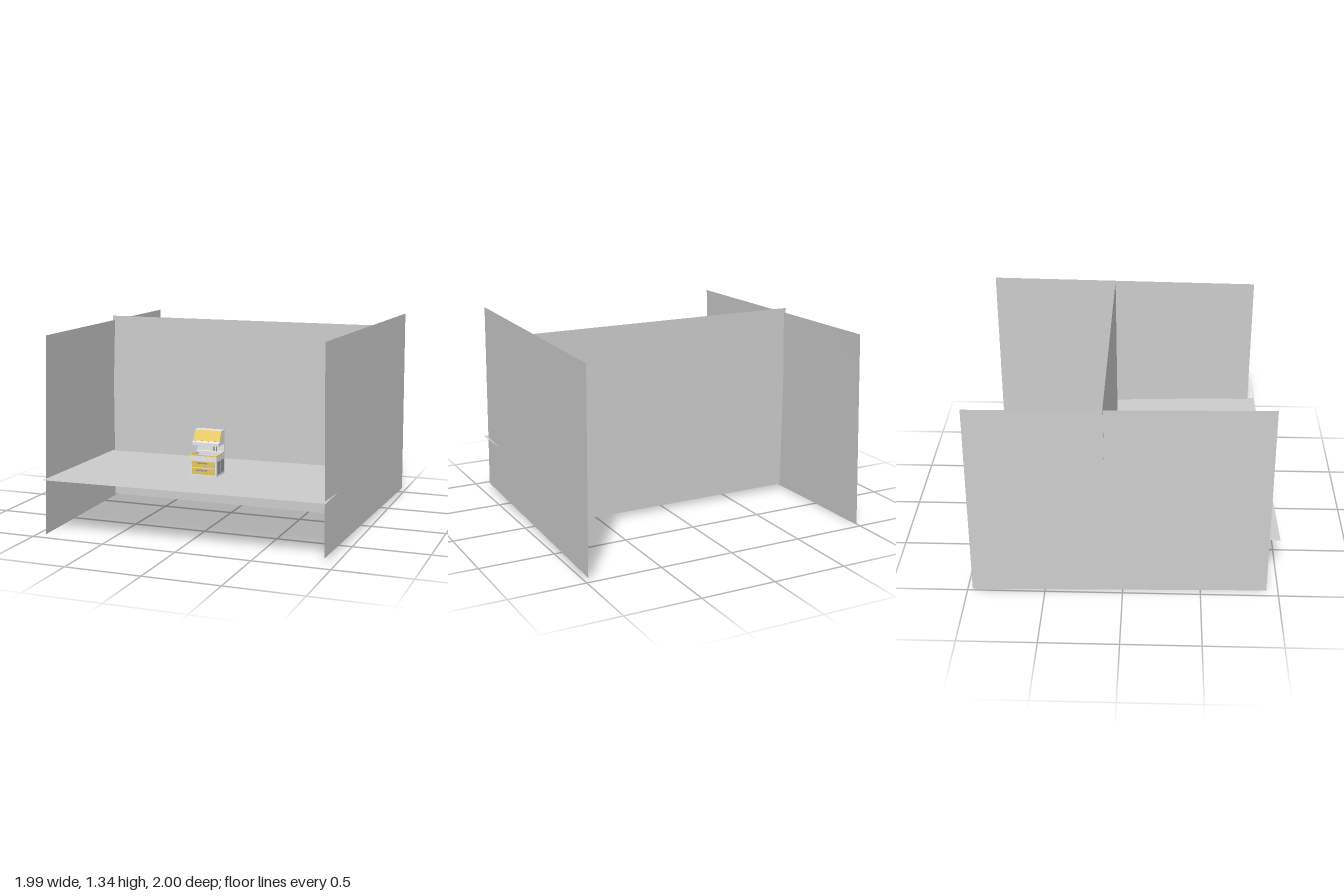
import * as THREE from 'three';

export function createModel() {
  const model = new THREE.Group();
  const mat = (name, color, side = THREE.FrontSide) => {
    const m = new THREE.MeshStandardMaterial({ color, side });
    m.name = name;
    return m;
  };
  const wallGrey = mat('wallGrey', 0xcccccc, THREE.DoubleSide);
  const white = mat('cabinetWhite', 0xeaeaea);
  const yellow = mat('panelYellow', 0xe8c95c);
  const grey = mat('trimGrey', 0x9a9a9a);

  const add = (name, geometry, material, parent = model) => {
    const mesh = new THREE.Mesh(geometry, material);
    mesh.name = name;
    parent.add(mesh);
    return mesh;
  };

  // Flat sheet from four corners, counter-clockwise from its front
  const sheet = (name, corners) => {
    const g = new THREE.BufferGeometry();
    g.setAttribute('position', new THREE.Float32BufferAttribute(corners.flat(), 3));
    g.setIndex([0, 1, 2, 0, 2, 3]);
    g.computeVertexNormals();
    add(name, g, wallGrey);
  };

  // Room: slightly skewed floor and walls
  sheet('floor', [[-0.92, 0.38, 0.995], [0.945, 0.38, 0.935], [0.91, 0.368, -0.105], [-0.93, 0.368, -0.045]]);
  sheet('backWall', [[-0.945, 0.03, -0.105], [0.945, 0.03, -0.105], [0.945, 1.335, -0.117], [-0.945, 1.335, -0.117]]);
  sheet('rightWall', [[-0.995, 0.005, -0.967], [-0.945, 0, 0.926], [-0.905, 1.305, 0.926], [-0.95, 1.305, -0.967]]);
  sheet('leftWall', [[0.93, 0.03, 0.89], [0.99, 0.03, -1], [0.98, 1.335, -1], [0.915, 1.335, 0.89]]);

  // Small cabinet, boxes given by min and max corners
  const cabinet = new THREE.Group();
  cabinet.name = 'cabinet';
  model.add(cabinet);
  const box = (name, x0, x1, y0, y1, z0, z1, material) => {
    const g = new THREE.BoxGeometry(x1 - x0, y1 - y0, z1 - z0);
    g.translate((x0 + x1) / 2, (y0 + y1) / 2, (z0 + z1) / 2);
    add(name, g, material, cabinet);
  };
  const L = -0.095, R = 0.09;

  // Body with an open tray on top
  box('body', L, R, 0.372, 0.485, 0.37, 0.515, white);
  box('trayFront', L, R, 0.485, 0.51, 0.505, 0.515, white);
  box('trayBack', L, R, 0.485, 0.51, 0.37, 0.38, white);
  for (const x of [L, R - 0.01]) box('traySide', x, x + 0.01, 0.485, 0.51, 0.38, 0.505, white);

  // Yellow rim
  box('rimFront', L, R, 0.51, 0.515, 0.508, 0.518, yellow);
  for (const x of [L, R - 0.006]) box('rimSide', x, x + 0.006, 0.51, 0.515, 0.38, 0.508, yellow);

  // Drawers with bar handles
  for (const [y0, y1, reach] of [[0.388, 0.428, 0.545], [0.434, 0.474, 0.535]]) {
    box('drawerFront', -0.08, 0.075, y0, y1, 0.515, 0.523, yellow);
    box('drawerHandle', -0.04, 0.03, y1 - 0.013, y1 - 0.005, reach - 0.008, reach, grey);
    for (const x of [-0.036, 0.022])
      box('handlePost', x, x + 0.004, y1 - 0.012, y1 - 0.006, 0.523, reach - 0.008, grey);
  }

  // Side panels
  for (const x of [L - 0.003, R])
    for (const z of [0.382, 0.448]) box('sidePanel', x, x + 0.003, 0.39, 0.475, z, z + 0.055, grey);

  // Upright back and struts carrying the hood
  box('uprightBack', L, R, 0.51, 0.575, 0.37, 0.382, white);
  for (const x of [0.018, 0.038]) box('strut', x, x + 0.006, 0.51, 0.575, 0.382, 0.392, grey);
  box('shelf', L, R, 0.51, 0.52, 0.37, 0.41, white);

  // Sloped hood, extruded along x from its side profile (z, y)
  const profile = new THREE.Shape([[0.37, 0.57], [0.475, 0.57], [0.475, 0.59], [0.455, 0.597], [0.42, 0.665], [0.37, 0.665]]
    .map(([z, y]) => new THREE.Vector2(-z, y)));
  const hood = new THREE.ExtrudeGeometry(profile, { depth: R - L, bevelEnabled: false });
  hood.rotateY(Math.PI / 2).translate(L, 0, 0);
  add('hood', hood, white, cabinet);

  // Yellow face on the hood slope
  const slope = Math.atan2(0.035, 0.068);
  const face = add('hoodFace', new THREE.BoxGeometry(R - L, 0.075, 0.004), yellow, cabinet);
  face.position.set((L + R) / 2, 0.631, 0.4385);
  face.rotation.x = -slope;

  return model;
}
